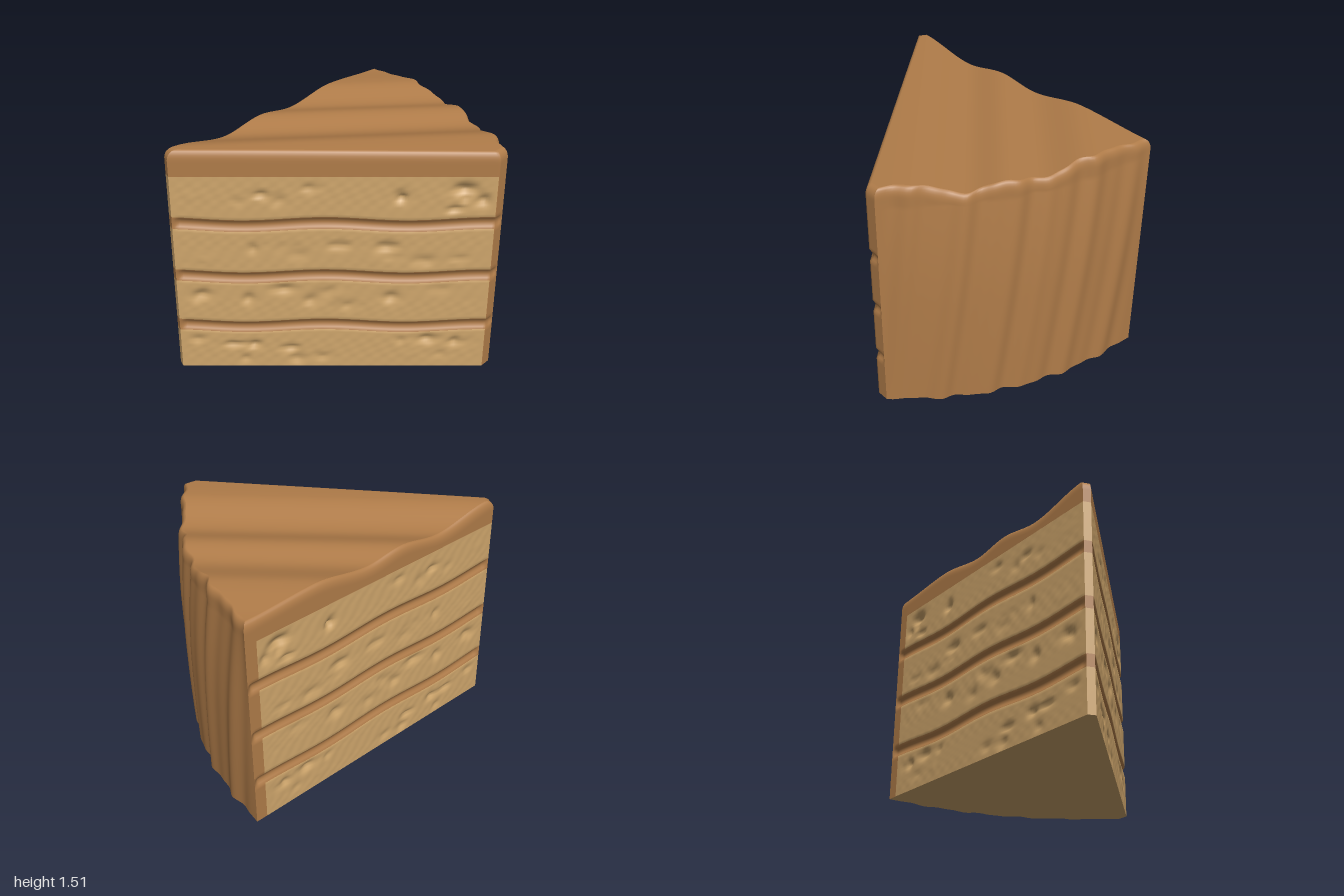
import * as THREE from 'three';

const frosting = new THREE.MeshStandardMaterial({ color: 0xb07c49 });
frosting.name = 'caramel frosting';
const sponge = new THREE.MeshStandardMaterial({ color: 0xcfa66c });
sponge.name = 'sponge';

const mix = (a, b, t) => a + (b - a) * t;
const mix2 = (p, q, t) => [mix(p[0], q[0], t), mix(p[1], q[1], t)];
const clamp01 = (v) => Math.min(1, Math.max(0, v));

// Plan of the wedge as [x, z]; the last part of each cut side is the outer frosting
const STRIP = 0.95;
const ROUND = { inset: 0.025, height: 0.06, centre: 0.38 };
const bent = (tip, knee, end) => (s) =>
  s <= STRIP ? mix2(tip, knee, s / STRIP) : mix2(knee, end, (s - STRIP) / (1 - STRIP));
const frontSide = bent([-1, 0.028], [0.75, 0.83], [0.82, 0.8]);
const rearSide = bent([-1, -0.022], [0.715, -0.8], [0.785, -0.83]);

// Rippled, slightly bulging outer wall
function outer(t, y) {
  const yy = Math.min(y, 1.38);
  const [x, z] = mix2(frontSide(1), rearSide(1), t);
  const ze = z - 0.115 * (1.45 - yy);
  const ripple = 0.011 * Math.sin((ze * Math.PI * 2) / 0.27) + 0.006 * Math.sin(ze * 41 + 1);
  const lean = yy > 0.7 ? -0.035 * ((yy - 0.7) / 0.7) ** 2 : -0.012 * ((0.7 - yy) / 0.7) ** 2;
  const fade = 1 - Math.abs(2 * t - 1) ** 8;
  return [x + 0.178 * 4 * t * (1 - t) + fade * (ripple + lean), z];
}

// Any point of the plan, from tip (s = 0) to outer wall (s = 1), front to rear by t
function plan(s, t, y) {
  const p = mix2(frontSide(s), rearSide(s), t);
  const bulge = outer(t, y)[0] - mix(frontSide(1)[0], rearSide(1)[0], t);
  return [p[0] + s * s * bulge, p[1]];
}

// Slanting waves of the top
const WAVES = [[-1.2, 1.48], [-0.8, 1.485], [-0.42, 1.51], [-0.12, 1.455], [0.08, 1.485],
  [0.32, 1.44], [0.66, 1.508], [1.05, 1.49]];
function topHeight(x, z) {
  const ze = z + 0.35 * (0.9 - x);
  let i = 0;
  while (i < WAVES.length - 2 && ze > WAVES[i + 1][0]) i++;
  const [a, b] = [WAVES[i], WAVES[i + 1]];
  const k = clamp01((ze - a[0]) / (b[0] - a[0]));
  return mix(a[1], b[1], k * k * (3 - 2 * k));
}
const shrink = ([x, z], inset) => {
  const k = 1 - inset / 0.552;
  return [ROUND.centre + (x - ROUND.centre) * k, z * k];
};

// Seeded pits for the crumb
let seed = 7;
const rnd = () => (seed = (seed * 16807) % 2147483647) / 2147483647;
const pits = Array.from({ length: 64 }, (_, i) => ({
  x: mix(-0.9, 0.7, rnd()),
  y: [0.13, 0.49, 0.85, 1.2][i % 4] + mix(-0.09, 0.09, rnd()),
  rx: mix(0.025, 0.065, rnd()), ry: mix(0.015, 0.035, rnd()), depth: mix(-0.006, 0.026, rnd()),
}));
function crumb(x, y) {
  let d = 0.0015 * Math.sin(x * 70 + 2 * Math.sin(y * 23)) * Math.sin(y * 80);
  for (const p of pits) {
    const q = ((x - p.x) / p.rx) ** 2 + ((y - p.y) / p.ry) ** 2;
    if (q < 8) d -= p.depth * Math.exp(-q);
  }
  return d;
}

// Grid surface; isSponge(column, row) chooses the material of each cell
function gridMesh(name, nu, nv, point, isSponge, flip = false) {
  const pos = [], cells = [[], []];
  for (let j = 0; j <= nv; j++) for (let i = 0; i <= nu; i++) pos.push(...point(i / nu, j));
  for (let j = 0; j < nv; j++) {
    for (let i = 0; i < nu; i++) {
      const a = j * (nu + 1) + i, b = a + 1, c = b + nu + 1, d = a + nu + 1;
      cells[isSponge(i, j) ? 1 : 0].push(...(flip ? [a, c, b, a, d, c] : [a, b, c, a, c, d]));
    }
  }
  const g = new THREE.BufferGeometry();
  g.setAttribute('position', new THREE.Float32BufferAttribute(pos, 3));
  g.setIndex([...cells[0], ...cells[1]]);
  g.addGroup(0, cells[0].length, 0);
  g.addGroup(cells[0].length, cells[1].length, 1);
  g.computeVertexNormals();
  const mesh = new THREE.Mesh(g, [frosting, sponge]);
  mesh.name = name;
  return mesh;
}

// Rows of a wall: alternating sponge and frosting layers, then a rounded rim
const LEVELS = [0, 0.27, 0.35, 0.63, 0.71, 0.99, 1.07, 1.345];
const rows = [];
for (let k = 0; k < 8; k++) {
  const n = k % 2 ? 6 : 14;
  for (let r = 0; r < n; r++) rows.push({ layer: k, f: r / n });
}
const RIM = 6;
for (let r = 0; r <= RIM; r++) rows.push({ layer: 8, f: r / RIM });

function wall(name, nu, path, { normal = null, sideOf = null, layered = true } = {}) {
  const point = (u, j) => {
    const { layer, f } = rows[j];
    const base = path(u, 1.44);
    const h = topHeight(...base);
    if (layer === 8) {
      const a = (f * Math.PI) / 2;
      const [x, z] = shrink(base, ROUND.inset * (1 - Math.cos(a)));
      return [x, h - ROUND.height * (1 - Math.sin(a)), z];
    }
    const level = (k) => {
      if (k === 8) return h - ROUND.height;
      const wave = k > 0 && k < 7 ? 0.011 * Math.cos(((base[0] + 0.17) * Math.PI * 2) / 0.9) : 0;
      return LEVELS[k] + wave;
    };
    const y = mix(level(layer), level(layer + 1), f);
    let [x, z] = path(u, y);
    if (normal) {
      const s = sideOf(u);
      const fade = clamp01(s / 0.02) * clamp01((1 - s) / 0.02);
      let d = 0;
      if (layer % 2 && layer < 7) d = -0.02 * Math.sin(f * Math.PI);
      else if (layer % 2 === 0 && s < STRIP) {
        d = crumb(x, y) * clamp01(Math.min(f, 1 - f) * 8) * clamp01((STRIP - s) / 0.03);
      }
      x += normal[0] * d * fade;
      z += normal[1] * d * fade;
    }
    return [x, y, z];
  };
  const isSponge = (i, j) => layered && rows[j].layer % 2 === 0 && rows[j].layer < 8
    && (!sideOf || sideOf((i + 0.5) / nu) < STRIP);
  return gridMesh(name, nu, rows.length - 1, point, isSponge);
}

export function createModel() {
  const cake = new THREE.Group();
  cake.name = 'cakeSlice';
  const N = 140, M = 90;

  // Cut sides, blunt tip and frosted outer wall
  cake.add(wall('frontCutSide', N, frontSide, { normal: [-0.416, 0.909], sideOf: (u) => u }));
  cake.add(wall('rearCutSide', N, (u) => rearSide(1 - u),
    { normal: [-0.413, -0.911], sideOf: (u) => 1 - u }));
  cake.add(wall('tip', 4, (u) => mix2(rearSide(0), frontSide(0), u)));
  cake.add(wall('outerFrosting', M, outer, { layered: false }));

  // Wavy frosted top
  cake.add(gridMesh('topFrosting', N, M, (s, j) => {
    const p = plan(s, j / M, 1.44);
    const [x, z] = shrink(p, ROUND.inset);
    return [x, topHeight(...p), z];
  }, () => false));

  // Flat underside
  cake.add(gridMesh('base', 40, M, (s, j) => {
    const [x, z] = plan(s, j / M, 0);
    return [x, 0, z];
  }, () => true, true));
  return cake;
}
